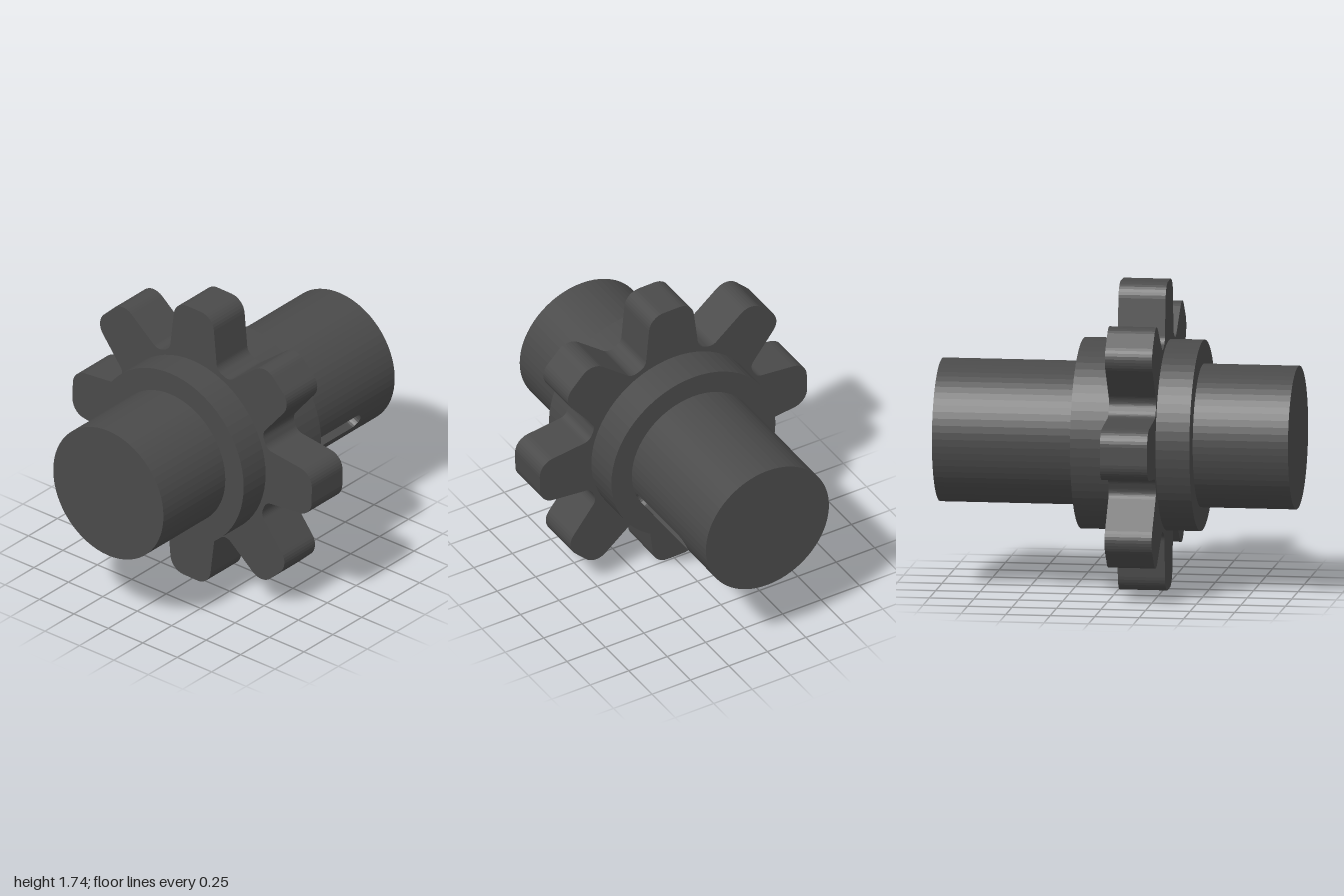
import * as THREE from 'three';

const DARK = 0x4a4a4a;
const AXIS_Y = 0.87;      // height of the shaft axis
const SHAFT_R = 0.4;
const TWIST = -0.016;     // slight turn of the whole gear
const TEETH = 8;
const SEGMENTS = 64;

const metal = new THREE.MeshStandardMaterial({ color: DARK, flatShading: true });
const thin = new THREE.MeshStandardMaterial({ color: DARK, flatShading: true, side: THREE.DoubleSide });

function add(parent, name, geometry, material = metal) {
  const mesh = new THREE.Mesh(geometry, material);
  mesh.name = name;
  parent.add(mesh);
  return mesh;
}

// Solid cylinder along z between two depths
function disc(radius, z0, z1) {
  return new THREE.CylinderGeometry(radius, radius, z1 - z0, SEGMENTS)
    .rotateX(Math.PI / 2).translate(0, 0, (z0 + z1) / 2);
}

// Band of quads between two rows of points
function strip(a, b) {
  const index = [];
  for (let i = 0; i < a.length - 1; i++) {
    const j = i + a.length;
    index.push(i, i + 1, j, i + 1, j + 1, j);
  }
  const geometry = new THREE.BufferGeometry().setFromPoints([...a, ...b]);
  geometry.setIndex(index);
  geometry.computeVertexNormals();
  return geometry;
}

// Closed outline whose corners {p, r} are rounded with radius r
function roundedOutline(corners) {
  const shape = new THREE.Shape();
  const n = corners.length;
  corners.forEach(({ p, r }, i) => {
    const toPrev = corners[(i + n - 1) % n].p.clone().sub(p).normalize();
    const toNext = corners[(i + 1) % n].p.clone().sub(p).normalize();
    const turn = Math.PI - Math.acos(toPrev.dot(toNext));
    const cut = r * Math.tan(turn / 2);
    const handle = cut - (4 / 3) * Math.tan(turn / 4) * r;
    const at = (dir, d) => p.clone().addScaledVector(dir, d);
    const start = at(toPrev, cut), end = at(toNext, cut);
    const c1 = at(toPrev, handle), c2 = at(toNext, handle);
    if (i === 0) shape.moveTo(start.x, start.y);
    else shape.lineTo(start.x, start.y);
    shape.bezierCurveTo(c1.x, c1.y, c2.x, c2.y, end.x, end.y);
  });
  shape.closePath();
  return shape;
}

// Eight tapered teeth with rounded tips and round valleys
function gearGeometry() {
  const tooth = [
    [0.172, 0.54, 0.06], [0.136, 0.868, 0.095],
    [-0.136, 0.868, 0.095], [-0.172, 0.54, 0.06],
  ];
  const corners = [];
  for (let i = 0; i < TEETH; i++) {
    const angle = TWIST + (i * Math.PI * 2) / TEETH;
    for (const [x, y, r] of tooth) {
      corners.push({ p: new THREE.Vector2(x, y).rotateAround(new THREE.Vector2(), angle), r });
    }
  }
  return new THREE.ExtrudeGeometry(roundedOutline(corners), {
    depth: 0.265, bevelEnabled: false, curveSegments: 8,
  }).translate(0, 0, 0.01);
}

// Rear shaft with a round-ended keyway cut into its +x side
function keyedShaft() {
  const group = new THREE.Group();
  group.name = 'rearShaft';
  const half = 0.051, floorX = 0.32;
  const slotFront = -0.26, slotBack = -0.69, zStart = -0.19, zEnd = -1;

  // Shaft wall everywhere but the strip holding the keyway
  const gap = Math.asin(half / SHAFT_R);
  const wall = new THREE.CylinderGeometry(SHAFT_R, SHAFT_R, zStart - zEnd, SEGMENTS - 2, 1, true,
    Math.PI / 2 + gap, Math.PI * 2 - gap * 2)
    .rotateX(Math.PI / 2).translate(0, 0, (zStart + zEnd) / 2);
  add(group, 'shaftWall', wall, thin);
  add(group, 'shaftEnd', new THREE.CircleGeometry(SHAFT_R, SEGMENTS)
    .rotateY(Math.PI).translate(0, 0, zEnd));

  // Columns across the keyway: row(z rule, optional floor height)
  const steps = 12;
  const row = (zAt, x) => Array.from({ length: steps + 1 }, (_, i) => {
    const t = (Math.PI * i) / steps;
    const s = -half * Math.cos(t);
    return new THREE.Vector3(x ?? Math.sqrt(SHAFT_R ** 2 - s ** 2), s, zAt(half * Math.sin(t)));
  });
  const front = e => slotFront + e;
  const back = e => slotBack - e;
  add(group, 'shaftWallAheadOfKeyway', strip(row(() => zStart), row(front)), thin);
  add(group, 'shaftWallBehindKeyway', strip(row(back), row(() => zEnd)), thin);

  const loop = x => {
    const points = [...row(front, x), ...row(back, x).reverse()];
    return [...points, points[0]];
  };
  add(group, 'keywaySides', strip(loop(), loop(floorX)), thin);
  add(group, 'keywayFloor', strip(row(front, floorX), row(back, floorX)), thin);

  group.rotation.z = -Math.PI / 8 + TWIST;
  return group;
}

export function createModel() {
  const model = new THREE.Group();
  model.name = 'gearShaft';
  add(model, 'gear', gearGeometry());
  add(model, 'hub', disc(0.533, -0.205, 0.465));
  add(model, 'frontShaft', disc(SHAFT_R, 0.4, 1));
  model.add(keyedShaft());
  model.position.y = AXIS_Y;
  return model;
}
